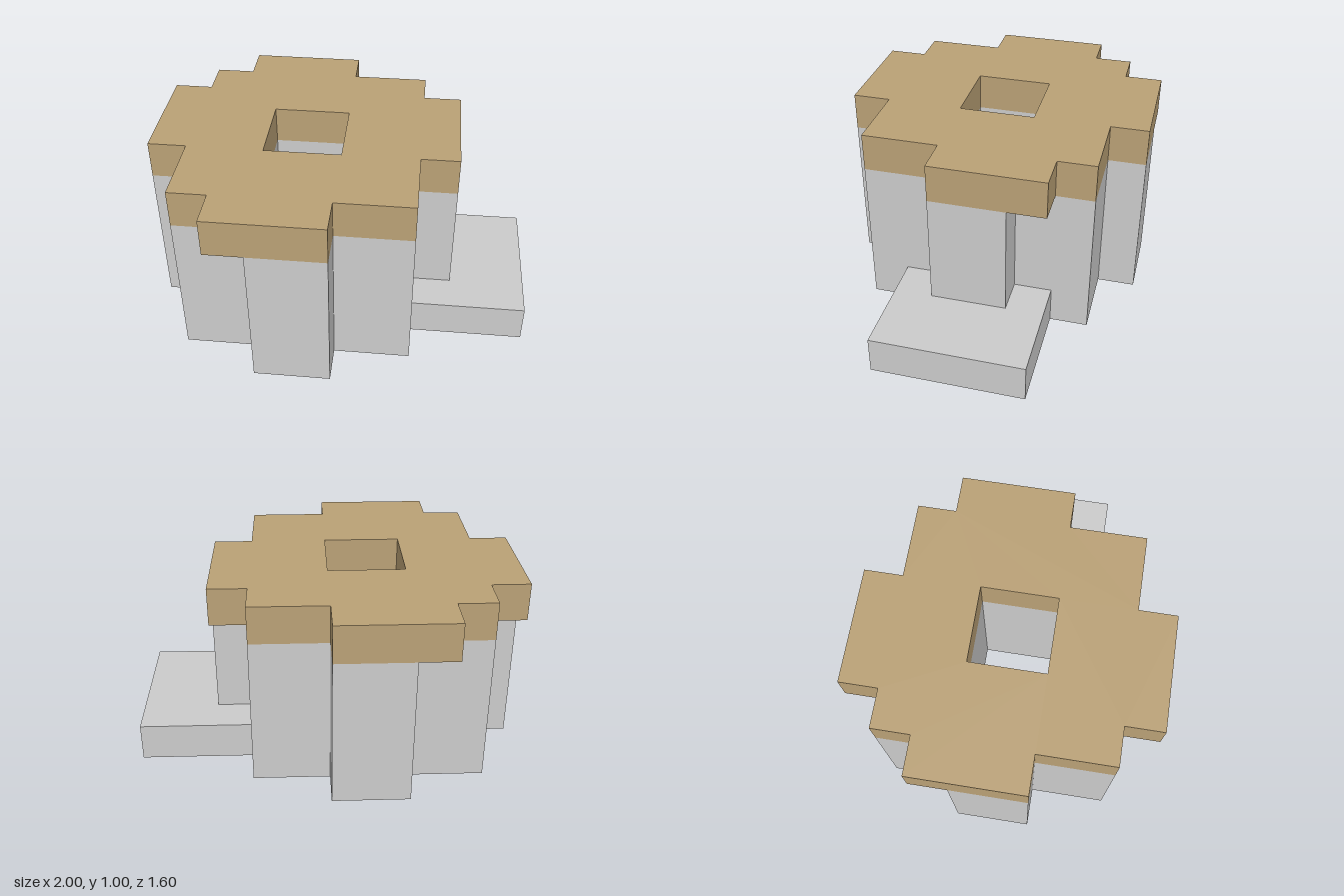
import * as THREE from 'three';

const grey = new THREE.MeshStandardMaterial({ color: 0xcccccc, flatShading: true });
const tan = new THREE.MeshStandardMaterial({ color: 0xbaa176, flatShading: true });

// Turns [x, z] points into 2D points for a shape that is later laid flat
const flat = (points) => points.map(([x, z]) => new THREE.Vector2(x, -z));

// Square core with an arm on each side: x0..x1 for front and back, z0..z1 for the sides
function crossOutline(x0, x1, z0, z1) {
  return [
    [x0, 0.8], [x1, 0.8], [x1, 0.6], [0.4, 0.6], [0.4, z1], [0.6, z1],
    [0.6, z0], [0.4, z0], [0.4, -0.6], [x1, -0.6], [x1, -0.8], [x0, -0.8],
    [x0, -0.6], [-0.8, -0.6], [-0.8, z0], [-1, z0], [-1, z1], [-0.8, z1],
    [-0.8, 0.6], [x0, 0.6],
  ];
}

// Extrudes a floor plan upwards from y0 to y1
function slab(name, outline, y0, y1, material, hole) {
  const shape = new THREE.Shape(flat(outline));
  if (hole) shape.holes.push(new THREE.Path(flat(hole)));
  const geometry = new THREE.ExtrudeGeometry(shape, { depth: y1 - y0, bevelEnabled: false });
  geometry.rotateX(-Math.PI / 2).translate(0, y0, 0);
  const mesh = new THREE.Mesh(geometry, material);
  mesh.name = name;
  return mesh;
}

export function createModel() {
  const model = new THREE.Group();
  model.name = 'steppedTower';

  // Square shaft through the walls and the top
  const shaft = [[-0.4, -0.2], [0, -0.2], [0, 0.2], [-0.4, 0.2]];

  // Walls with narrow arms, and the top whose arms overhang at one side
  model.add(slab('walls', crossOutline(-0.4, 0, -0.2, 0.2), 0, 0.8, grey, shaft));
  model.add(slab('top', crossOutline(-0.6, 0, -0.4, 0.2), 0.8, 1, tan, shaft));

  // Low step fitted around the side arm
  const step = [
    [0.4, 0.4], [1, 0.4], [1, -0.4], [0.4, -0.4],
    [0.4, -0.2], [0.6, -0.2], [0.6, 0.2], [0.4, 0.2],
  ];
  model.add(slab('step', step, 0, 0.2, grey));

  return model;
}
